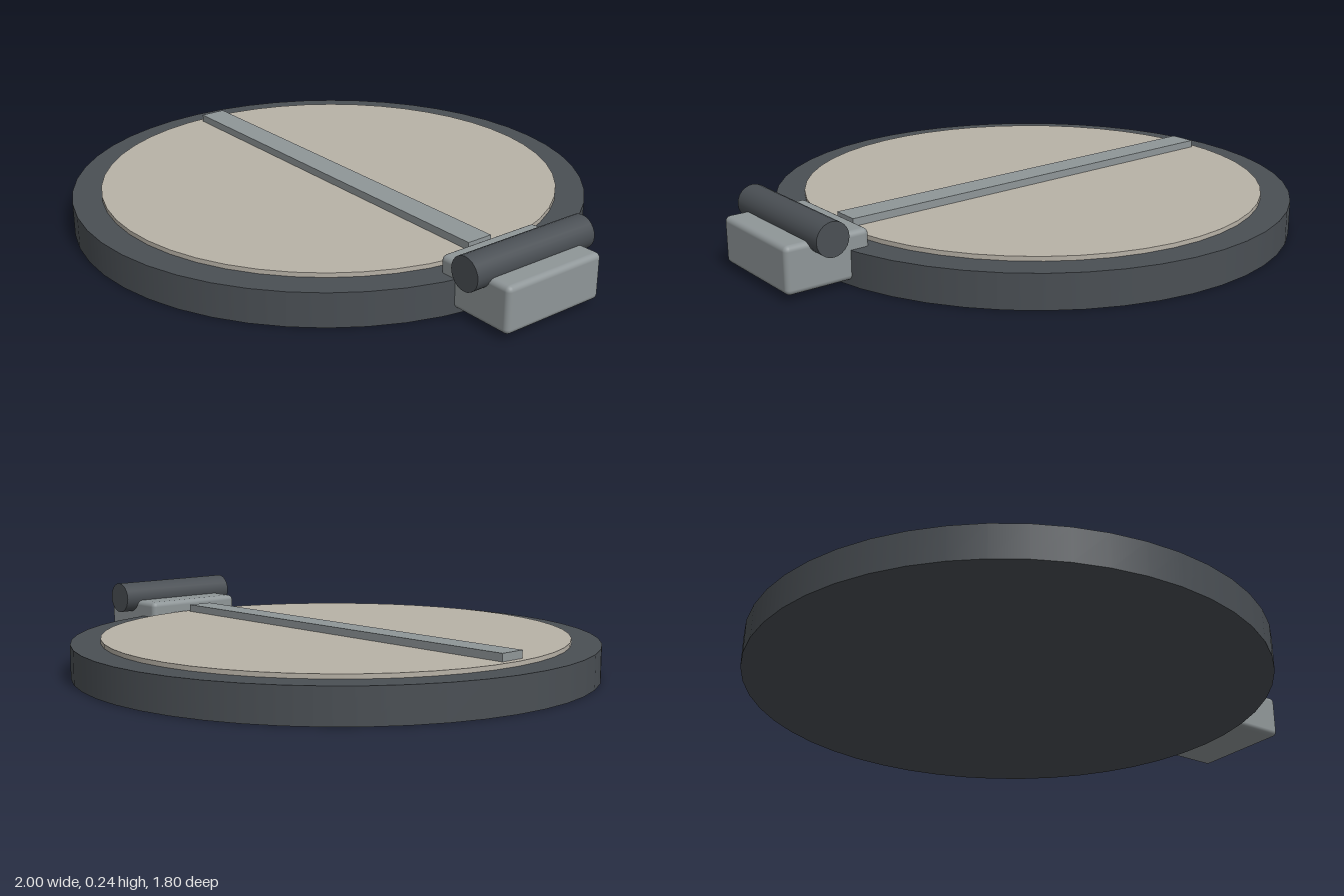
import * as THREE from 'three';
import { RoundedBoxGeometry } from 'three/addons/geometries/RoundedBoxGeometry.js';

export function createModel() {
  const model = new THREE.Group();
  const material = (name, color) => {
    const m = new THREE.MeshStandardMaterial({ color });
    m.name = name;
    return m;
  };
  const dark = material('dark iron', 0x4a4f54);
  const stone = material('warm beige', 0xb8b2a7);
  const steel = material('grey steel', 0x8f9698);

  const add = (name, geometry, mat, x, y, z = 0) => {
    const mesh = new THREE.Mesh(geometry, mat);
    mesh.name = name;
    mesh.position.set(x, y, z);
    model.add(mesh);
    return mesh;
  };

  // Round lid: dark base with a slightly raised inset plate
  add('baseDisc', new THREE.CylinderGeometry(0.9, 0.9, 0.115, 48), dark, -0.1, 0.0575);
  add('insetPlate', new THREE.CylinderGeometry(0.8, 0.8, 0.03, 48), stone, -0.1, 0.115);

  // Raised strap across the middle
  add('crossBar', new THREE.BoxGeometry(1.55, 0.04, 0.095), steel, -0.1, 0.136);

  // Hinge: rounded block on the rim with a pin lying along z
  add('hingeBlock', new RoundedBoxGeometry(0.29, 0.155, 0.39, 3, 0.018), steel, 0.853, 0.0945);
  add('hingePin', new THREE.CylinderGeometry(0.056, 0.056, 0.49, 24), dark, 0.866, 0.182)
    .rotation.x = Math.PI / 2;

  return model;
}
